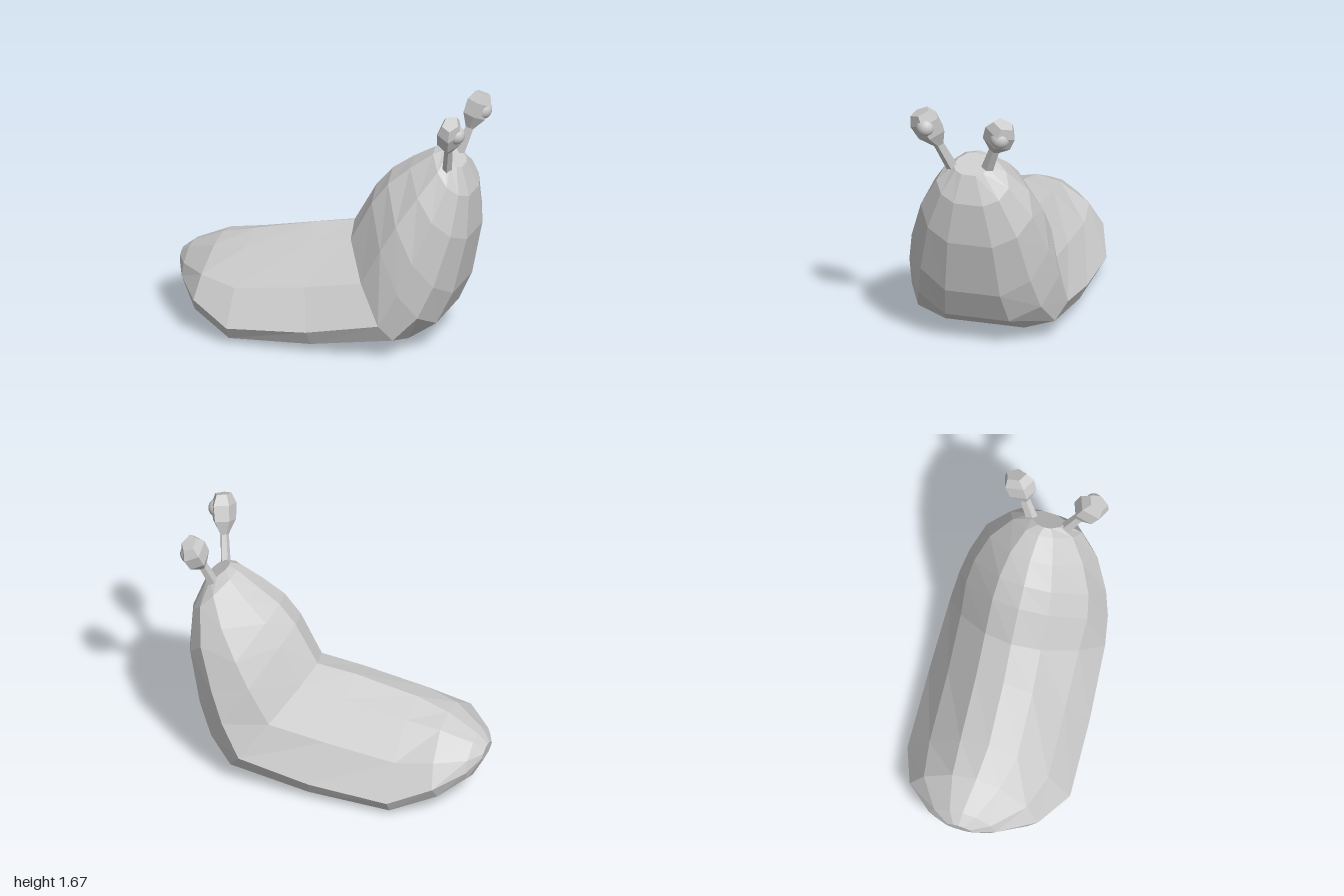
import * as THREE from 'three';

const material = new THREE.MeshStandardMaterial({ color: 0xcccccc, flatShading: true });
const eyeMaterial = new THREE.MeshStandardMaterial({ color: 0xcccccc });

// Half cross-sections as [depth from back to belly, half width]
const FOOT = [[0, 0], [0.1, 0.35], [0.43, 0.73], [0.8, 1], [0.94, 0.91], [1, 0.55]];
const ROUND = [[0, 0], [0.06, 0.38], [0.33, 0.84], [0.62, 1], [0.86, 0.8], [1, 0.4]];

// Stations from tail to crown: back x, y, belly x, y, z min, z max, roundness
const STATIONS = [
  [-1.0, 0.38, -0.99, 0.29, -0.12, 0.06, 1],
  [-0.93, 0.44, -0.93, 0.18, -0.25, 0.2, 1],
  [-0.72, 0.54, -0.79, 0.09, -0.43, 0.43, 0.6],
  [-0.5, 0.6, -0.5, 0.0, -0.53, 0.555, 0],
  [-0.1, 0.69, 0.05, 0.02, -0.555, 0.52, 0],
  [0.15, 0.73, 0.61, 0.08, -0.565, 0.47, 0.3],
  [0.3, 1.0, 0.78, 0.19, -0.54, 0.45, 0.8],
  [0.41, 1.13, 0.88, 0.4, -0.5, 0.41, 1],
  [0.55, 1.23, 0.96, 0.77, -0.42, 0.32, 1],
  [0.7, 1.32, 0.96, 1.05, -0.28, 0.2, 1],
  [0.76, 1.33, 0.9, 1.23, -0.14, 0.09, 1],
];

// Closed ring: down the left side, then up the right side
function ringAt([bx, by, fx, fy, z0, z1, round]) {
  const half = FOOT.map(([t, w], i) => [
    THREE.MathUtils.lerp(t, ROUND[i][0], round),
    THREE.MathUtils.lerp(w, ROUND[i][1], round),
  ]);
  const right = half.slice(1).reverse().map(([t, w]) => [t, -w]);
  return [...half, ...right].map(([t, w]) => new THREE.Vector3(
    THREE.MathUtils.lerp(bx, fx, t),
    THREE.MathUtils.lerp(by, fy, t),
    (z0 + z1) / 2 + w * (z1 - z0) / 2,
  ));
}

// Skin between successive rings with a fan on each end
function loft(rings) {
  const n = rings[0].length;
  const points = rings.flat();
  const index = [];
  for (let j = 0; j < rings.length - 1; j++) {
    for (let i = 0; i < n; i++) {
      const k = (i + 1) % n;
      const a = j * n + i, b = a + n, c = j * n + k, d = c + n;
      index.push(a, c, b, c, d, b);
    }
  }
  const last = (rings.length - 1) * n;
  for (let i = 1; i < n - 1; i++) {
    index.push(0, i + 1, i, last, last + i, last + i + 1);
  }
  const geometry = new THREE.BufferGeometry().setFromPoints(points);
  geometry.setIndex(index);
  geometry.computeVertexNormals();
  return geometry;
}

// Thin stalk that swells into a faceted bulb, with a round eye on its front
function eyeStalk(name, base, tip, eyeCentre, eyeRadius) {
  const group = new THREE.Group();
  group.name = name;
  const axis = tip.clone().sub(base);
  const profile = [[0, 0], [0.042, 0], [0.036, 0.42], [0.1, 0.62], [0.108, 0.85], [0.07, 1], [0, 1]]
    .map(([r, t]) => new THREE.Vector2(r, t * axis.length()));
  const stalk = new THREE.Mesh(new THREE.LatheGeometry(profile, 5, 0.3), material);
  stalk.name = 'stalk';
  stalk.scale.x = 0.75;
  stalk.position.copy(base);
  stalk.quaternion.setFromUnitVectors(new THREE.Vector3(0, 1, 0), axis.normalize());

  const eye = new THREE.Mesh(new THREE.SphereGeometry(eyeRadius, 24, 16), eyeMaterial);
  eye.name = 'eyeball';
  eye.position.copy(eyeCentre);
  group.add(stalk, eye);
  return group;
}

export function createModel() {
  const model = new THREE.Group();
  model.name = 'slug';

  const body = new THREE.Mesh(loft(STATIONS.map(ringAt)), material);
  body.name = 'body';
  model.add(body);

  const v = (x, y, z) => new THREE.Vector3(x, y, z);
  model.add(
    eyeStalk('eyeStalkNear', v(0.83, 1.24, 0.1), v(0.92, 1.64, 0.29), v(0.94, 1.55, 0.25), 0.06),
    eyeStalk('eyeStalkFar', v(0.83, 1.26, -0.13), v(0.94, 1.63, -0.27), v(0.94, 1.53, -0.245), 0.065),
  );
  return model;
}
